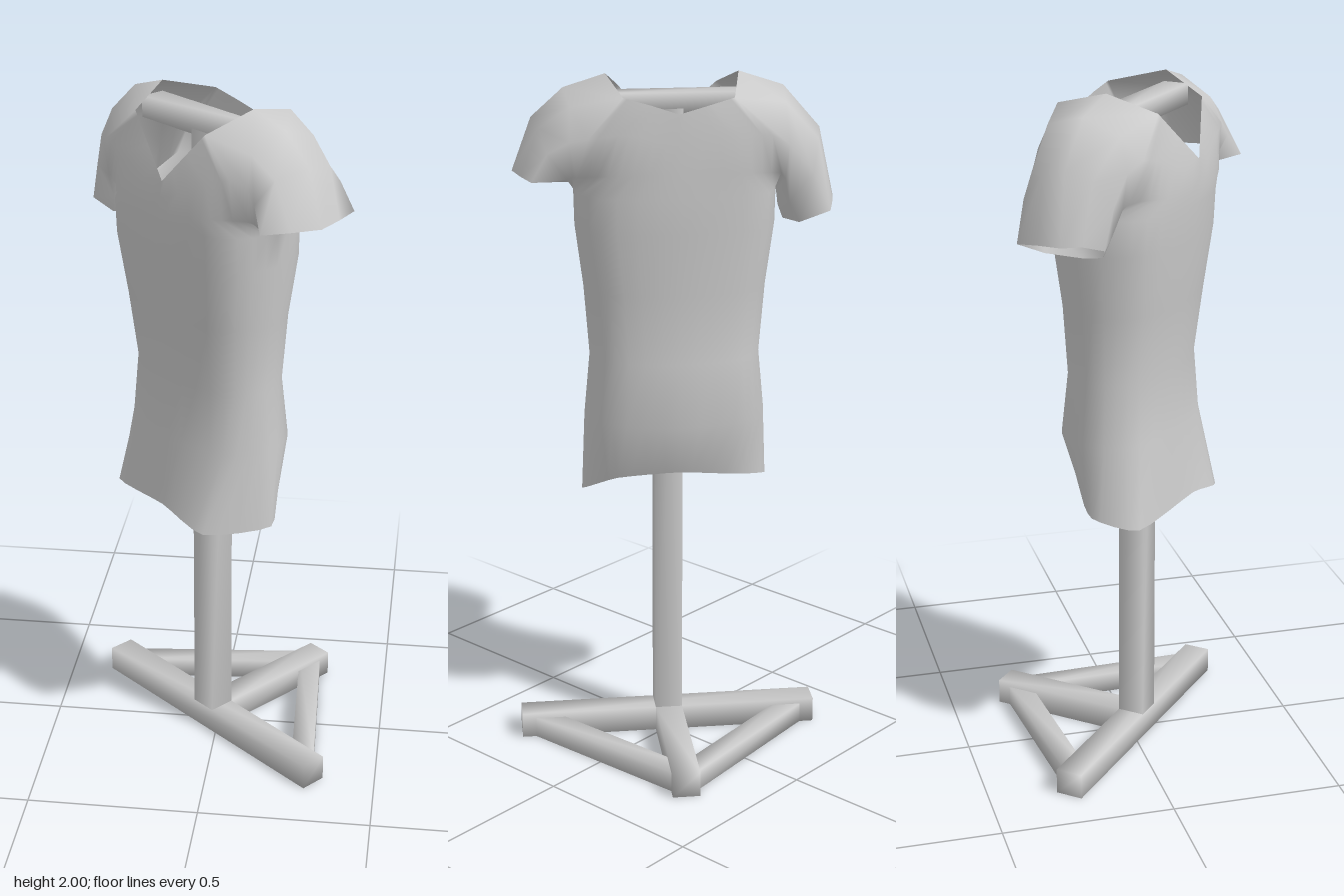
import * as THREE from 'three';
import { mergeGeometries, mergeVertices } from 'three/addons/utils/BufferGeometryUtils.js';

const SEG = 32;

// Sample a curve through a few [x, y, z] points
function sample(pts, n, closed, tension = 0.5) {
  const curve = new THREE.CatmullRomCurve3(
    pts.map(p => new THREE.Vector3(...p)), closed, 'catmullrom', tension);
  return Array.from({ length: n + 1 }, (_, i) => curve.getPoint(i / n).toArray());
}

// Skin a stack of rows with equal point counts
function skin(rows) {
  const n = rows[0].length, index = [];
  for (let r = 0; r < rows.length - 1; r++) {
    for (let i = 0; i < n - 1; i++) {
      const a = r * n + i, b = a + 1, c = a + n, d = b + n;
      index.push(a, c, b, b, c, d);
    }
  }
  const geo = new THREE.BufferGeometry();
  geo.setAttribute('position', new THREE.Float32BufferAttribute(rows.flat(2), 3));
  geo.setIndex(index);
  return geo;
}

// Horizontal torso ring: half width, front depth, back depth, height, squareness
function ring(a, front, back, y, k = 0.74, cx = -0.02) {
  return sample([
    [cx + a, y, 0], [cx + a * k, y, front * k], [cx, y, front], [cx - a * k, y, front * k],
    [cx - a, y, 0], [cx - a * k, y, -back * k], [cx, y, -back], [cx + a * k, y, -back * k],
  ], SEG, true);
}

// Square timber lying between two floor-plan points, with softened shading
function beam(name, [x1, z1], [x2, z2], width, height, y, material) {
  const box = new THREE.BoxGeometry(Math.hypot(x2 - x1, z2 - z1), height, width);
  box.deleteAttribute('normal');
  box.deleteAttribute('uv');
  const geo = mergeVertices(box);
  geo.computeVertexNormals();
  const mesh = new THREE.Mesh(geo, material);
  mesh.position.set((x1 + x2) / 2, y + height / 2, (z1 + z2) / 2);
  mesh.rotation.y = -Math.atan2(z2 - z1, x2 - x1);
  mesh.name = name;
  return mesh;
}

// Sleeve loops run: underarm, front low, front mid, front top, top, back top, back mid, back low.
// The first loop is the armhole, the last the cuff. The left sleeve is held out.
const leftSleeve = [
  [[0.265, 1.68, 0], [0.265, 1.74, 0.125], [0.235, 1.85, 0.15], [0.125, 1.945, 0.137],
    [0.172, 2, 0.005], [0.139, 1.96, -0.16], [0.235, 1.85, -0.165], [0.265, 1.74, -0.135]],
  [[0.268, 1.685, 0], [0.275, 1.74, 0.115], [0.28, 1.84, 0.125], [0.265, 1.915, 0.1],
    [0.29, 1.965, 0], [0.28, 1.93, -0.11], [0.285, 1.84, -0.15], [0.275, 1.74, -0.125]],
  [[0.275, 1.7, 0], [0.285, 1.73, 0.105], [0.315, 1.8, 0.135], [0.345, 1.865, 0.09],
    [0.38, 1.885, 0], [0.365, 1.87, -0.09], [0.345, 1.81, -0.15], [0.29, 1.73, -0.11]],
  [[0.285, 1.72, 0], [0.3, 1.72, 0.1], [0.361, 1.735, 0.157], [0.4, 1.735, 0.085],
    [0.435, 1.735, 0.006], [0.415, 1.735, -0.08], [0.39, 1.735, -0.16], [0.31, 1.72, -0.09]],
];
// The right sleeve hangs lower (x is mirrored below)
const rightSleeve = [
  [[0.305, 1.68, 0], [0.3, 1.74, 0.125], [0.27, 1.85, 0.15], [0.158, 1.95, 0.138],
    [0.2, 2, 0.005], [0.165, 1.955, -0.16], [0.27, 1.85, -0.165], [0.3, 1.74, -0.135]],
  [[0.31, 1.66, 0], [0.315, 1.72, 0.11], [0.315, 1.82, 0.125], [0.305, 1.915, 0.1],
    [0.325, 1.96, 0], [0.315, 1.93, -0.11], [0.32, 1.82, -0.15], [0.315, 1.72, -0.12]],
  [[0.315, 1.62, 0], [0.325, 1.65, 0.085], [0.365, 1.74, 0.11], [0.4, 1.81, 0.065],
    [0.43, 1.84, 0], [0.415, 1.82, -0.075], [0.39, 1.74, -0.145], [0.33, 1.65, -0.105]],
  [[0.33, 1.58, 0], [0.35, 1.595, 0.07], [0.4, 1.63, 0.1], [0.44, 1.645, 0.055],
    [0.474, 1.645, 0.008], [0.46, 1.64, -0.065], [0.44, 1.63, -0.14], [0.36, 1.59, -0.1]],
].map(loop => loop.map(([x, y, z]) => [-x, y, z]));

function createShirt(material) {
  // Torso from the wavy hem up to the armpits
  const hem = sample([
    [0.252, 0.785, 0], [0.16, 0.785, 0.18], [-0.01, 0.82, 0.185], [-0.265, 0.79, 0.137],
    [-0.29, 0.81, 0], [-0.19, 0.84, -0.085], [-0.02, 0.865, -0.12], [0.155, 0.845, -0.09],
  ], SEG, true, 0.3);
  const chest = ring(0.285, 0.19, 0.18, 1.68, 0.78);
  const torso = skin([
    hem,
    ring(0.262, 0.155, 0.18, 1.02),
    ring(0.245, 0.142, 0.16, 1.2),
    ring(0.26, 0.165, 0.163, 1.4, 0.76),
    ring(0.283, 0.185, 0.178, 1.58, 0.78),
    chest,
  ]);

  // Front and back panels between the armholes, ending at the neckline
  const L = leftSleeve[0], R = rightSleeve[0];
  const row = (from, mids, to, tension) => sample([from, ...mids, to], SEG / 2, false, tension);
  const front = skin([
    chest.slice(0, SEG / 2 + 1),
    row(L[1], [[0.15, 1.73, 0.178], [-0.015, 1.71, 0.19], [-0.18, 1.73, 0.178]], R[1]),
    row(L[2], [[0.13, 1.82, 0.172], [0, 1.755, 0.19], [-0.16, 1.82, 0.172]], R[2]),
    row(L[3], [[0.065, 1.873, 0.161], [0.005, 1.8, 0.185], [-0.077, 1.875, 0.161]], R[3], 0),
  ]);
  const back = skin([
    chest.slice(SEG / 2),
    row(R[7], [[-0.18, 1.75, -0.175], [-0.015, 1.75, -0.18], [0.15, 1.75, -0.175]], L[7]),
    row(R[6], [[-0.15, 1.86, -0.176], [-0.012, 1.835, -0.18], [0.125, 1.86, -0.176]], L[6]),
    row(R[5], [[-0.088, 1.935, -0.17], [-0.012, 1.915, -0.176], [0.065, 1.94, -0.17]], L[5], 0),
  ]);

  // Sleeves; the mirrored one is reversed so that it faces outwards
  const close = loop => [...loop, loop[0]];
  const sleeves = [
    skin(leftSleeve.map(close)),
    skin(rightSleeve.map(loop => close(loop).reverse())),
  ];

  // Sew everything into one smooth garment
  const geo = mergeVertices(mergeGeometries([torso, front, back, ...sleeves]), 1e-3);
  geo.computeVertexNormals();
  const shirt = new THREE.Mesh(geo, material);
  shirt.name = 'shirt';
  return shirt;
}

function createStand(material) {
  // T-shaped foot with two diagonal struts, pole and shoulder bar
  const stand = new THREE.Group();
  stand.name = 'stand';
  stand.add(
    beam('footBar', [-0.445, 0], [0.445, 0], 0.08, 0.075, 0, material),
    beam('rearFoot', [0, -0.04], [0, -0.46], 0.08, 0.075, 0, material),
    beam('pole', [-0.04, 0], [0.04, 0], 0.08, 1.83, 0.075, material),
    beam('shoulderBar', [-0.25, 0], [0.25, 0], 0.075, 0.06, 1.89, material),
  );
  for (const s of [1, -1]) {
    stand.add(beam('footStrut', [0.005 * s, -0.412], [0.39 * s, -0.008], 0.065, 0.06, 0, material));
  }
  return stand;
}

export function createModel() {
  const wood = new THREE.MeshStandardMaterial({ color: 0xcccccc });
  const cloth = new THREE.MeshStandardMaterial({ color: 0xcccccc, side: THREE.DoubleSide });

  // The whole display is turned on the floor
  const display = new THREE.Group();
  display.name = 'display';
  display.add(createStand(wood), createShirt(cloth));
  display.position.set(-0.015, 0, 0.02);
  display.rotation.y = -0.717;
  const model = new THREE.Group();
  model.name = 'shirtStand';
  model.add(display);
  return model;
}
